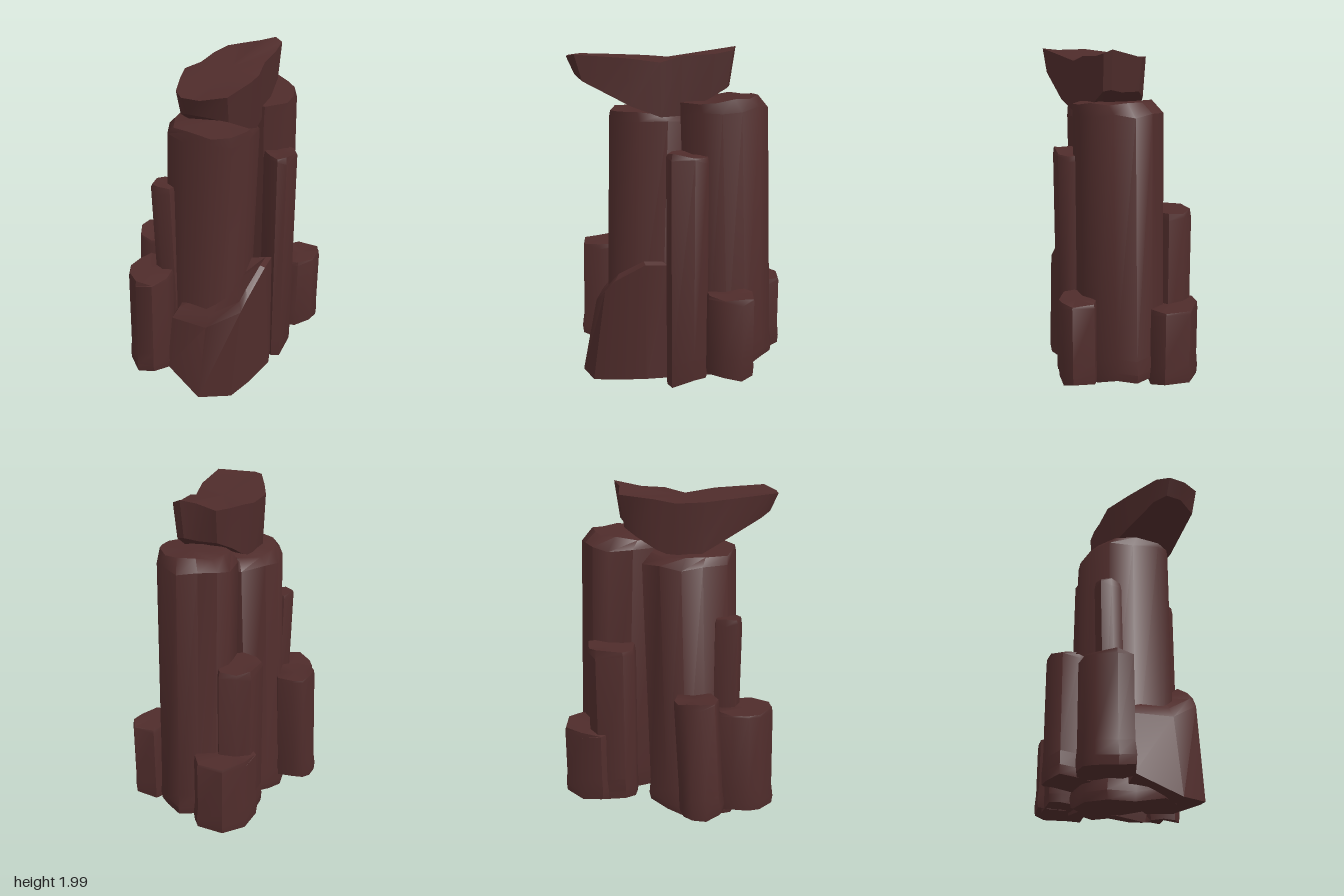
import * as THREE from 'three';
import { toCreasedNormals } from 'three/addons/utils/BufferGeometryUtils.js';

const rock = new THREE.MeshStandardMaterial({ color: 0x4f2c2b });
rock.name = 'dark red rock';

// Skin through rings of [x, y, z] (bottom to top, counter-clockwise from above), closed by fans.
function skin(name, rings, crease, low, high) {
  const pos = [];
  const n = rings[0].length;
  const centre = (r) => [0, 1, 2].map((k) => r.reduce((s, p) => s + p[k], 0) / n);
  const tri = (a, b, c) => pos.push(...a, ...b, ...c);
  const first = rings[0], last = rings[rings.length - 1];
  const c0 = low || centre(first), c1 = high || centre(last);
  for (let i = 0; i < n; i++) {
    const j = (i + 1) % n;
    for (let r = 0; r < rings.length - 1; r++) {
      const a = rings[r], b = rings[r + 1];
      tri(a[i], a[j], b[j]);
      tri(a[i], b[j], b[i]);
    }
    tri(c0, first[j], first[i]);
    tri(c1, last[i], last[j]);
  }
  const geo = new THREE.BufferGeometry();
  geo.setAttribute('position', new THREE.Float32BufferAttribute(pos, 3));
  const mesh = new THREE.Mesh(toCreasedNormals(geo, crease), rock);
  mesh.name = name;
  return mesh;
}

// Turns an [x, z] outline counter-clockwise as seen from above.
function ccw(o) {
  let area = 0;
  o.forEach((p, i) => {
    const q = o[(i + 1) % o.length];
    area += p[0] * q[1] - q[0] * p[1];
  });
  return area < 0 ? o : [...o].reverse();
}

// Rock column: planes are [height at centre, slope in x, slope in z]; shift moves the foot, tip the top face.
function column(name, outline, { base, top, flare = 1.05, shift = [0, 0], tip = [0, 0], bevel = 0.9, drop = 0.035 }) {
  const o = ccw(outline);
  const cx = o.reduce((s, p) => s + p[0], 0) / o.length;
  const cz = o.reduce((s, p) => s + p[1], 0) / o.length;
  const ring = (scale, plane, lift, move) => o.map(([x, z], i) => {
    const dx = x - cx, dz = z - cz;
    return [cx + dx * scale + move[0], plane[0] + plane[1] * dx + plane[2] * dz + lift(i),
      cz + dz * scale + move[1]];
  });
  const chip = (i) => 0.012 * Math.sin(i * 2.4 + cx * 20);
  return skin(name, [
    ring(flare * 0.97, base, (i) => chip(i), shift),
    ring(flare, base, (i) => 0.05 + chip(i), shift),
    ring(1.0, base, (i) => 0.13 + chip(i), shift.map((s) => s * 0.8)),
    ring(1, top, (i) => -drop + chip(i), [0, 0]),
    ring(bevel, top, (i) => chip(i + 1) * 0.6, tip),
  ], 0.82);
}

export function createModel() {
  const g = new THREE.Group();
  g.name = 'rockFormation';

  // Two tall pillars
  g.add(column('frontPillar', [[-0.11, -0.15], [-0.22, -0.05], [-0.26, 0.07], [-0.25, 0.19], [-0.19, 0.33],
    [-0.06, 0.38], [0.1, 0.4], [0.2, 0.34], [0.25, 0.22], [0.245, 0.06], [0.1, -0.1]],
  { base: [0.045, 0.08, -0.1], top: [1.635, 0, 0.02], flare: 1.06, shift: [-0.03, 0.05], tip: [0.02, 0.02],
    bevel: 0.89, drop: 0.05 }));
  g.add(column('backPillar', [[-0.11, -0.2], [-0.11, -0.34], [-0.07, -0.43], [0.02, -0.48], [0.13, -0.51],
    [0.23, -0.45], [0.31, -0.35], [0.345, -0.24], [0.345, -0.13], [0.24, -0.01], [0.05, -0.01]],
  { base: [0.12, 0, -0.22], top: [1.71, 0, -0.07], flare: 1.01, shift: [0.005, -0.055], tip: [0.02, 0.035],
    bevel: 0.88, drop: 0.06 }));

  // Thinner columns around the pillars
  g.add(column('slimFrontColumn', [[-0.28, 0.32], [-0.25, 0.265], [-0.17, 0.265], [-0.135, 0.33], [-0.15, 0.4],
    [-0.22, 0.42], [-0.275, 0.39]], { base: [0.15, 0, 0], top: [1.29, -0.1, 0], shift: [0.03, 0] }));
  g.add(column('leftSideColumn', [[-0.47, 0.1], [-0.44, 0.05], [-0.38, 0.03], [-0.28, 0.05], [-0.24, 0.15],
    [-0.26, 0.25], [-0.35, 0.29], [-0.44, 0.26], [-0.48, 0.18]],
  { base: [0.13, 0, 0], top: [0.845, -0.1, 0], shift: [-0.015, 0.04], bevel: 0.97, drop: 0.02 }));
  g.add(column('frontCornerColumn', [[-0.39, 0.36], [-0.35, 0.29], [-0.25, 0.28], [-0.15, 0.36], [-0.13, 0.5],
    [-0.18, 0.6], [-0.28, 0.61], [-0.37, 0.53], [-0.4, 0.46]],
  { base: [0.13, 0, 0], top: [0.755, 0, 0], shift: [-0.005, 0.015], bevel: 0.96, drop: 0.02 }));
  g.add(column('backMiddleColumn', [[-0.28, -0.26], [-0.26, -0.42], [-0.19, -0.47], [-0.09, -0.48], [-0.04, -0.38],
    [-0.06, -0.22], [-0.14, -0.19], [-0.23, -0.2]], { base: [0.14, 0, 0], top: [1.1, 0, 0], flare: 1.03, bevel: 0.94 }));
  g.add(column('backShortColumn', [[-0.29, -0.4], [-0.26, -0.52], [-0.16, -0.625], [-0.01, -0.62], [0.04, -0.54],
    [0.02, -0.42], [-0.1, -0.36], [-0.25, -0.35]],
  { base: [0.14, 0, 0], top: [0.575, 0, 0], flare: 1.05, bevel: 0.97, drop: 0.02 }));
  g.add(column('rightShortColumn', [[0.3, -0.37], [0.34, -0.43], [0.47, -0.425], [0.505, -0.36], [0.495, -0.26],
    [0.43, -0.17], [0.36, -0.16], [0.3, -0.22]],
  { base: [0.14, 0, 0], top: [0.62, 0, 0], flare: 1.03, bevel: 0.96, drop: 0.02 }));
  g.add(column('rightTallColumn', [[0.245, -0.01], [0.265, -0.1], [0.32, -0.175], [0.38, -0.16], [0.42, -0.09],
    [0.405, 0.04], [0.36, 0.07], [0.3, 0.045]],
  { base: [0.07, 0, -0.25], top: [1.42, 0, 0.1], flare: 1.01, bevel: 0.94, drop: 0.025 }));

  // Wedge-shaped buttress leaning on the front pillar
  const foot = [[-0.14, 0.13, 0.52], [0.1, 0.02, 0.59], [0.28, 0.035, 0.51], [0.34, 0.06, 0.37], [0.39, 0.09, 0.19],
    [0.35, 0.08, 0.06], [0.15, 0.05, 0.1], [-0.1, 0.07, 0.3]];
  const crest = [[-0.12, 0.47, 0.48], [0.11, 0.48, 0.5], [0.3, 0.6, 0.43], [0.32, 0.67, 0.37], [0.35, 0.78, 0.19],
    [0.34, 0.775, 0.06], [0.15, 0.74, 0.1], [-0.1, 0.56, 0.3]];
  const inner = crest.map(([x, y, z]) =>
    [0.13 + (x - 0.13) * 0.88, y + 0.015 + Math.max(0, z - 0.25) * 0.2, 0.25 + (z - 0.25) * 0.82]);
  g.add(skin('buttress', [foot, crest, inner], 0.45, [0.13, 0.04, 0.35]));

  // Balanced capstone with a keel running across its underside
  const rim = [[-0.01, 1.95, -0.28], [-0.07, 1.95, -0.2], [-0.1, 1.94, -0.08], [-0.12, 1.92, 0.04],
    [-0.14, 1.93, 0.2], [-0.08, 1.94, 0.37], [0, 1.95, 0.57], [0.06, 1.945, 0.63], [0.16, 1.945, 0.63],
    [0.28, 1.96, 0.57], [0.28, 1.94, 0.28], [0.25, 1.915, 0.1], [0.235, 1.95, -0.02], [0.23, 1.96, -0.2],
    [0.225, 1.98, -0.3], [0.18, 2, -0.315], [0.1, 1.98, -0.28]];
  const keelY = (z) => 1.612 + Math.max(0, z - 0.14) * 0.52 + Math.max(0, -z) * 0.6;
  const belly = rim.map(([x, , z]) => {
    const bz = 0.08 + (z - 0.08) * 0.92;
    return [0.07 + (x - 0.07) * 0.95, keelY(bz), bz];
  });
  g.add(skin('capstone', [belly, rim], 0.6, [0.07, 1.61, 0.08], [0.08, 1.93, 0.1]));

  return g;
}
